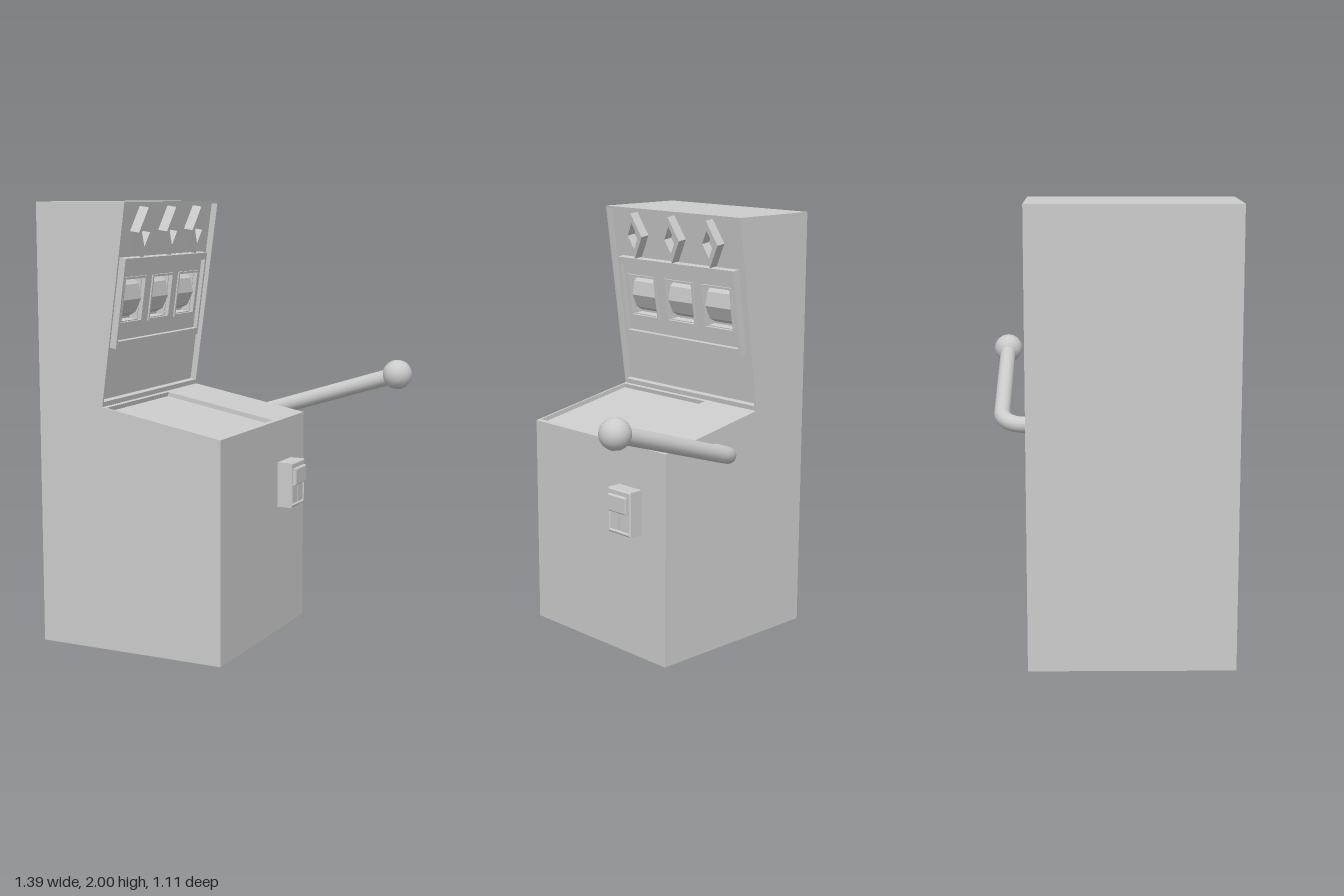
import * as THREE from 'three';

const grey = new THREE.MeshStandardMaterial({ color: 0xcccccc });
const flat = new THREE.MeshStandardMaterial({ color: 0xcccccc, flatShading: true });

function add(parent, name, geometry, material = grey) {
  const mesh = new THREE.Mesh(geometry, material);
  mesh.name = name;
  parent.add(mesh);
  return mesh;
}

// Box given by its limits
function box(parent, name, x0, x1, y0, y1, z0, z1) {
  const mesh = add(parent, name, new THREE.BoxGeometry(x1 - x0, y1 - y0, z1 - z0));
  mesh.position.set((x0 + x1) / 2, (y0 + y1) / 2, (z0 + z1) / 2);
  return mesh;
}

// Rectangle in the (-z, y) plane
function rect(PathType, z0, z1, y0, y1) {
  return new PathType([[-z1, y0], [-z0, y0], [-z0, y1], [-z1, y1]].map(p => new THREE.Vector2(...p)));
}

// Plate facing +x between x0 and x1
function plate(shape, x0, x1, bevel = 0) {
  return new THREE.ExtrudeGeometry(shape, {
    depth: x1 - x0 - bevel, steps: 1, bevelEnabled: bevel > 0, bevelThickness: bevel,
    bevelSize: bevel, bevelOffset: -bevel, bevelSegments: 1
  }).rotateY(Math.PI / 2).translate(x0, 0, 0);
}

const knee = new THREE.Vector2(-0.375, 1.105);
const tilt = Math.atan2(0.125, 0.895);
const faceLength = Math.hypot(0.125, 0.895);

// Side profile of the cabinet with optional sunken screen and sunken deck
function profile(sunkScreen, sunkDeck) {
  const onDeck = (t, d) => [knee.x + 0.575 * t - 0.18 * d, knee.y - 0.105 * t - 0.984 * d];
  const onFace = (t, d) => [
    knee.x + t * Math.sin(tilt) - d * Math.cos(tilt),
    knee.y + t * Math.cos(tilt) + d * Math.sin(tilt)
  ];
  const pts = [[-0.7, 0], [0.205, 0], [0.205, 1.0]];
  if (sunkDeck) pts.push(onDeck(0.97, 0), onDeck(0.97, 0.02), onDeck(0.03, 0.02), onDeck(0.03, 0));
  pts.push([knee.x, knee.y]);
  if (sunkScreen) {
    const a = 0.022, b = faceLength - 0.012;
    pts.push(onFace(a, 0), onFace(a, 0.07), onFace(b, 0.07), onFace(b, 0));
  }
  pts.push([-0.25, 2], [-0.7, 2]);
  return new THREE.Shape(pts.map(p => new THREE.Vector2(...p)));
}

function buildCabinet(root) {
  const cabinet = new THREE.Group();
  cabinet.name = 'cabinet';
  root.add(cabinet);
  const slices = [
    ['rightWall', -0.35, -0.34, false, false],
    ['bodyBesideTray', -0.34, -0.03, true, false],
    ['bodyWithTray', -0.03, 0.54, true, true],
    ['leftWall', 0.54, 0.55, false, false]
  ];
  for (const [name, z0, z1, screen, deck] of slices) {
    const g = new THREE.ExtrudeGeometry(profile(screen, deck), { depth: z1 - z0, bevelEnabled: false });
    add(cabinet, name, g.translate(0, 0, z0));
  }
}

function buildScreen(root) {
  // Local x points out of the tilted face, local y runs up along it
  const screen = new THREE.Group();
  screen.name = 'screen';
  screen.position.set(knee.x, knee.y, 0);
  screen.rotation.z = -tilt;
  root.add(screen);

  const windows = [0.36, 0.105, -0.145];
  const y0 = 0.358, y1 = 0.57, half = 0.098;
  const cut = (shape, inset) => {
    for (const z of windows) {
      shape.holes.push(rect(THREE.Path, z - half + inset, z + half - inset, y0 + inset, y1 - inset));
    }
    return shape;
  };

  // Sunken back panel and the bezel on it
  add(screen, 'backPanel',
    plate(cut(rect(THREE.Shape, -0.34, 0.54, 0.022, faceLength - 0.012), 0.01), -0.07, -0.03));
  add(screen, 'bezel', plate(cut(rect(THREE.Shape, -0.285, 0.495, 0.257, 0.656), 0.006), -0.03, -0.015));
  const rim = rect(THREE.Shape, -0.285, 0.495, 0.257, 0.656);
  rim.holes.push(rect(THREE.Path, -0.272, 0.482, 0.288, 0.622));
  add(screen, 'bezelRim', plate(rim, -0.015, 0.005));

  for (const z of windows) {
    // Window trim, faceted reel and raised ornament above it
    const trim = rect(THREE.Shape, z - half, z + half, y0, y1);
    trim.holes.push(rect(THREE.Path, z - half + 0.01, z + half - 0.01, y0 + 0.01, y1 - 0.01));
    add(screen, 'windowTrim', plate(trim, -0.015, -0.008));

    const reel = new THREE.CylinderGeometry(0.11, 0.11, 2 * half - 0.022, 10);
    reel.rotateX(Math.PI / 2).rotateZ(Math.PI / 10);
    const mesh = add(screen, 'reel', reel, flat);
    const apothem = 0.11 * Math.cos(Math.PI / 10);
    mesh.position.set(-0.025 - apothem, (y0 + y1) / 2, z);

    const lozenge = (PathType, w, h) => new PathType([
      [-z, 0.77 - h], [-z + w, 0.77], [-z, 0.77 + h], [-z - w, 0.77]
    ].map(p => new THREE.Vector2(...p)));
    const ornament = lozenge(THREE.Shape, 0.062, 0.11);
    ornament.holes.push(lozenge(THREE.Path, 0.036, 0.064));
    add(screen, 'ornament', plate(ornament, -0.03, 0.016));
  }
}

function buildCoinBox(root) {
  const coin = new THREE.Group();
  coin.name = 'coinBox';
  root.add(coin);
  add(coin, 'housing', plate(rect(THREE.Shape, -0.197, -0.047, 0.595, 0.805), 0.2, 0.265));
  const face = rect(THREE.Shape, -0.197, -0.047, 0.595, 0.805);
  face.holes.push(rect(THREE.Path, -0.182, -0.06, 0.612, 0.7));
  add(coin, 'facePlate', plate(face, 0.265, 0.277, 0.006));
  add(coin, 'button', plate(rect(THREE.Shape, -0.182, -0.062, 0.7, 0.78), 0.27, 0.292, 0.005));
  // Two flaps with a slot between them
  box(coin, 'flap', 0.262, 0.273, 0.612, 0.7, -0.182, -0.125);
  box(coin, 'flap', 0.262, 0.273, 0.612, 0.7, -0.115, -0.06);
}

function buildLever(root) {
  const lever = new THREE.Group();
  lever.name = 'lever';
  root.add(lever);
  const elbow = new THREE.Vector3(-0.107, 0.957, -0.487);
  const ballCentre = new THREE.Vector3(0.625, 1.188, -0.49);
  const along = ballCentre.clone().sub(elbow).normalize();
  const bendIn = elbow.clone().setZ(-0.385);
  const bendOut = elbow.clone().addScaledVector(along, 0.107);

  // Rounded elbow between two straight runs
  const k = 0.45;
  const path = new THREE.CurvePath();
  path.add(new THREE.LineCurve3(elbow.clone().setZ(-0.34), bendIn));
  path.add(new THREE.CubicBezierCurve3(bendIn, bendIn.clone().lerp(elbow, 1 - k),
    bendOut.clone().lerp(elbow, 1 - k), bendOut));
  path.add(new THREE.LineCurve3(bendOut, ballCentre));
  add(lever, 'leverArm', new THREE.TubeGeometry(path, 60, 0.038, 16));

  const ball = add(lever, 'leverBall', new THREE.SphereGeometry(0.07, 16, 12));
  ball.position.copy(ballCentre);
  ball.quaternion.setFromUnitVectors(new THREE.Vector3(0, 1, 0), along);
}

export function createModel() {
  const root = new THREE.Group();
  root.name = 'slotMachine';
  buildCabinet(root);
  buildScreen(root);
  buildCoinBox(root);
  buildLever(root);
  return root;
}
